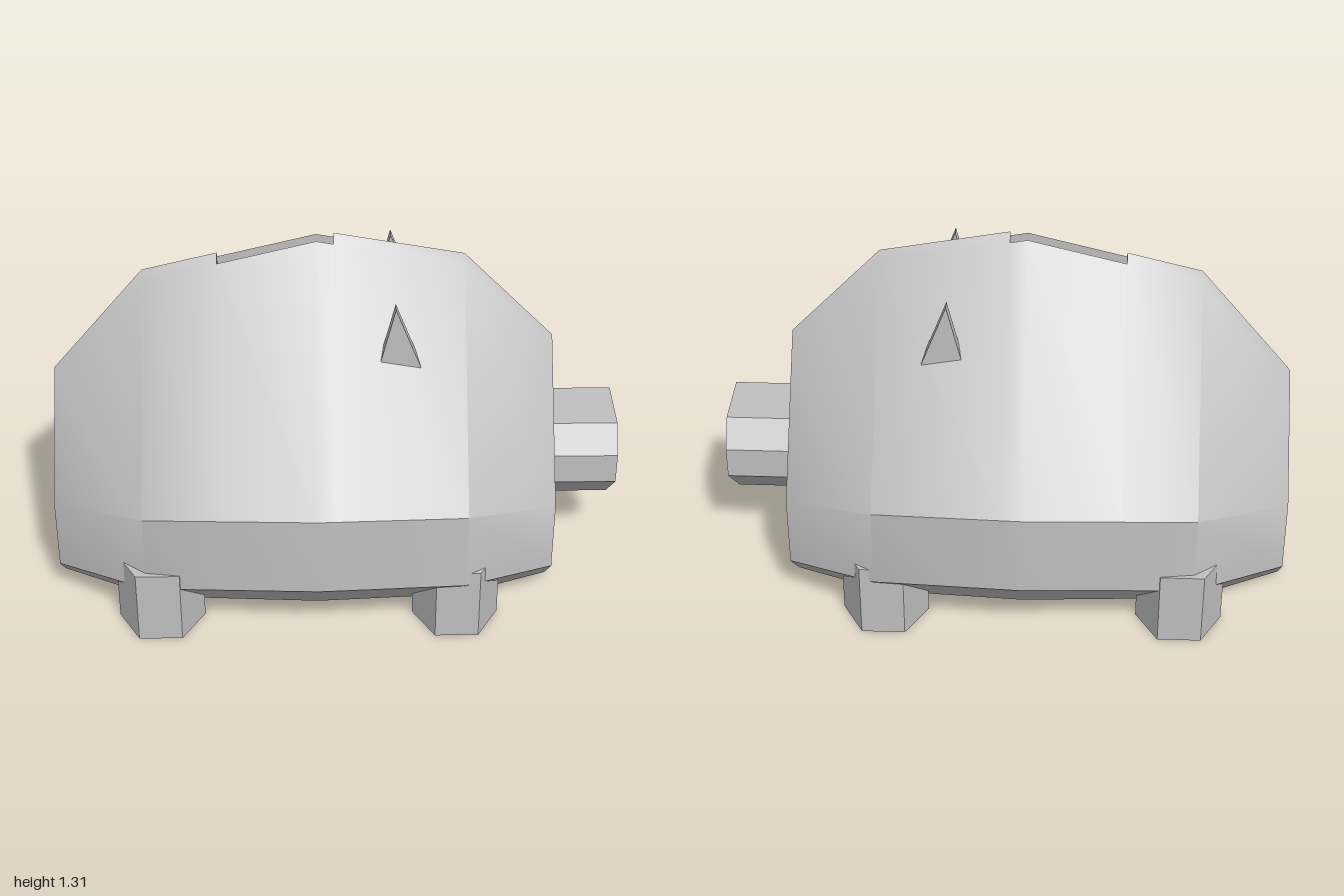
import * as THREE from 'three';
import { toCreasedNormals } from 'three/addons/utils/BufferGeometryUtils.js';

const SLOT = 0.025; // half width of the coin slot
const HOLE = { x: -0.07, r: 0.33, inner: 0.26 };
const FLOOR = 0.24; // height of the inside floor

// Body stations: x, ridge height, upper side height, half width, lower side height
const KEYS = [
  [-1, 0.77, 0.4, 0.305, 0.125],
  [-0.67, 1.17, 0.51, 0.555, 0.21],
  [-0.07, 1.32, 0.56, 0.64, 0.26],
  [0.44, 1.225, 0.53, 0.585, 0.235],
  [0.76, 0.89, 0.425, 0.39, 0.16],
];

function station(x) {
  const i = Math.max(0, KEYS.findIndex((k) => k[0] >= x) - 1);
  const t = (x - KEYS[i][0]) / (KEYS[i + 1][0] - KEYS[i][0]);
  return KEYS[i].map((v, j) => THREE.MathUtils.lerp(v, KEYS[i + 1][j], t));
}

// Half section from ridge to floor, as [x, y, z] points
function outerSection(x) {
  const [, top, up, w, low] = station(x);
  return [[x, top, 0], [x, top - (SLOT * (top - up)) / w, SLOT], [x, up, w], [x, low, w], [x, 0, w - low]];
}

function innerSection(x) {
  const [, top0, up, w0] = station(x);
  const w = w0 - 0.08, top = top0 - 0.12;
  return [[x, top, 0], [x, top - (SLOT * (top - up)) / w, SLOT], [x, up, w], [x, FLOOR + 0.04, w], [x, FLOOR, w - 0.04]];
}

const mirror = ([x, y, z], s) => [x, y, z * s];

function fromQuads(quads) {
  const pos = [];
  for (const [a, b, c, d] of quads) pos.push(...a, ...b, ...c, ...a, ...c, ...d);
  const geo = new THREE.BufferGeometry();
  geo.setAttribute('position', new THREE.Float32BufferAttribute(pos, 3));
  return toCreasedNormals(geo, 0.6);
}

// Skin lofted through the sections, left open along the coin slot
function shell(sections, inward) {
  const quads = [];
  for (const s of [1, -1])
    for (let i = 0; i < sections.length - 1; i++)
      for (let k = 0; k < 4; k++) {
        if (k === 0 && (i === 2 || i === 3)) continue;
        const q = [sections[i][k], sections[i][k + 1], sections[i + 1][k + 1], sections[i + 1][k]].map((p) => mirror(p, s));
        quads.push((s > 0) !== inward ? q : q.reverse());
      }
  return fromQuads(quads);
}

function circle(x, y, r, n = 24) {
  return new THREE.Path().absarc(x, y, r, 0, Math.PI * 2, true) && new THREE.Path(
    Array.from({ length: n }, (_, i) => {
      const a = (-i / n) * Math.PI * 2;
      return new THREE.Vector2(x + r * Math.cos(a), y + r * Math.sin(a));
    }));
}

function polygon(points, holes = []) {
  const shape = new THREE.Shape(points.map(([u, v]) => new THREE.Vector2(u, v)));
  shape.holes.push(...holes);
  return shape;
}

// Flat end wall closing a section
function endCap(section, dir, holes) {
  const right = section.map(([, y, z]) => [z, y]);
  const left = section.slice(1).reverse().map(([, y, z]) => [-z, y]);
  return new THREE.ShapeGeometry(polygon([...right, ...left], holes))
    .rotateY((dir * Math.PI) / 2).translate(section[0][0], 0, 0);
}

// Floor outline with the round stopper opening
function floorPlate(sections, y, r) {
  const edge = sections.map((s) => s[4]);
  const pts = [...edge.map(([x, , z]) => [x, z]), ...edge.slice().reverse().map(([x, , z]) => [x, -z])];
  return new THREE.ShapeGeometry(polygon(pts, [circle(HOLE.x, 0, r, 48)])).rotateX(Math.PI / 2).translate(0, y, 0);
}

export function createModel() {
  const model = new THREE.Group();
  const grey = new THREE.MeshStandardMaterial({ color: 0xc0c0c0, side: THREE.DoubleSide });
  grey.name = 'plain grey';
  const add = (name, geo, x = 0, y = 0, z = 0) => {
    const mesh = new THREE.Mesh(geo, grey);
    mesh.name = name;
    mesh.position.set(x, y, z);
    model.add(mesh);
  };

  // Hollow body
  const xs = [-0.67, -0.41, -0.07, -0.01, 0.44];
  const outer = [-1, ...xs, 0.76].map(outerSection);
  const inner = [-0.92, ...xs, 0.68].map(innerSection);
  const eyes = [1, -1].map((s) => circle(s * 0.098, 0.67, 0.03));
  add('bodyShell', shell(outer, false));
  add('bodyRear', endCap(outer[0], -1));
  add('face', endCap(outer[6], 1, eyes));
  add('underside', floorPlate(outer, 0, HOLE.r));
  add('innerShell', shell(inner, true));
  add('innerRear', endCap(inner[0], 1));
  add('innerFront', endCap(inner[6], -1));
  add('innerFloor', floorPlate(inner, FLOOR, HOLE.inner));

  // Coin slot walls joining both skins
  const loop = [[2, 0, 1], [2, 1, 1], [3, 1, 1], [4, 1, 1], [4, 0, 1], [4, 1, -1], [3, 1, -1], [2, 1, -1]];
  const at = (sections, [i, k, s]) => mirror(sections[i][k], s);
  add('coinSlot', fromQuads(loop.map((p, i) => {
    const q = loop[(i + 1) % loop.length];
    return [at(outer, p), at(inner, p), at(inner, q), at(outer, q)];
  })));

  // Threaded stopper opening
  const thread = [[HOLE.r, 0], [0.275, 0.07]];
  for (let y = 0.08; y < 0.22; y += 0.04) thread.push([HOLE.inner, y], [HOLE.inner, y + 0.012], [0.282, y + 0.026]);
  thread.push([HOLE.inner, FLOOR]);
  const threadGeo = new THREE.LatheGeometry(thread.map(([r, y]) => new THREE.Vector2(r, y)), 48);
  add('threadedOpening', toCreasedNormals(threadGeo, 0.5), HOLE.x);

  // Snout with nostril holes
  const snout = polygon(
    [[0, 0.2], [0.18, 0.375], [0.18, 0.49], [0.112, 0.585], [-0.112, 0.585], [-0.18, 0.49], [-0.18, 0.375]],
    [1, -1].map((s) => circle(s * 0.069, 0.433, 0.03)));
  add('snout', new THREE.ExtrudeGeometry(snout, { depth: 0.24, bevelEnabled: false }).rotateY(Math.PI / 2), 0.76);

  // Triangular ear plate, continued into the roof
  const ear = new THREE.ExtrudeGeometry(polygon([[0.12, 0.85], [0.316, 0.85], [0.195, 1.165]]), { depth: 0.04, bevelEnabled: false })
    .translate(0, 0, -0.02);
  const leg = toCreasedNormals(new THREE.CylinderGeometry(0.152, 0.152, 0.28, 6).rotateY(Math.PI / 6), 0.3);
  const eye = toCreasedNormals(new THREE.LatheGeometry(
    [[0, -0.04], [0.01, -0.04], [0.03, 0]].map(([r, y]) => new THREE.Vector2(r, y)), 24).rotateZ(-Math.PI / 2), 0.5);

  for (const [side, s] of [['left', -1], ['right', 1]]) {
    add(side + 'Ear', ear, 0, 0, s * 0.25);
    add(side + 'EyeSocket', eye, 0.76, 0.67, s * 0.098);
    add(side + 'FrontLeg', leg, 0.415, 0.14, s * 0.443);
    add(side + 'RearLeg', leg, -0.628, 0.14, s * 0.443);
  }
  return model;
}
